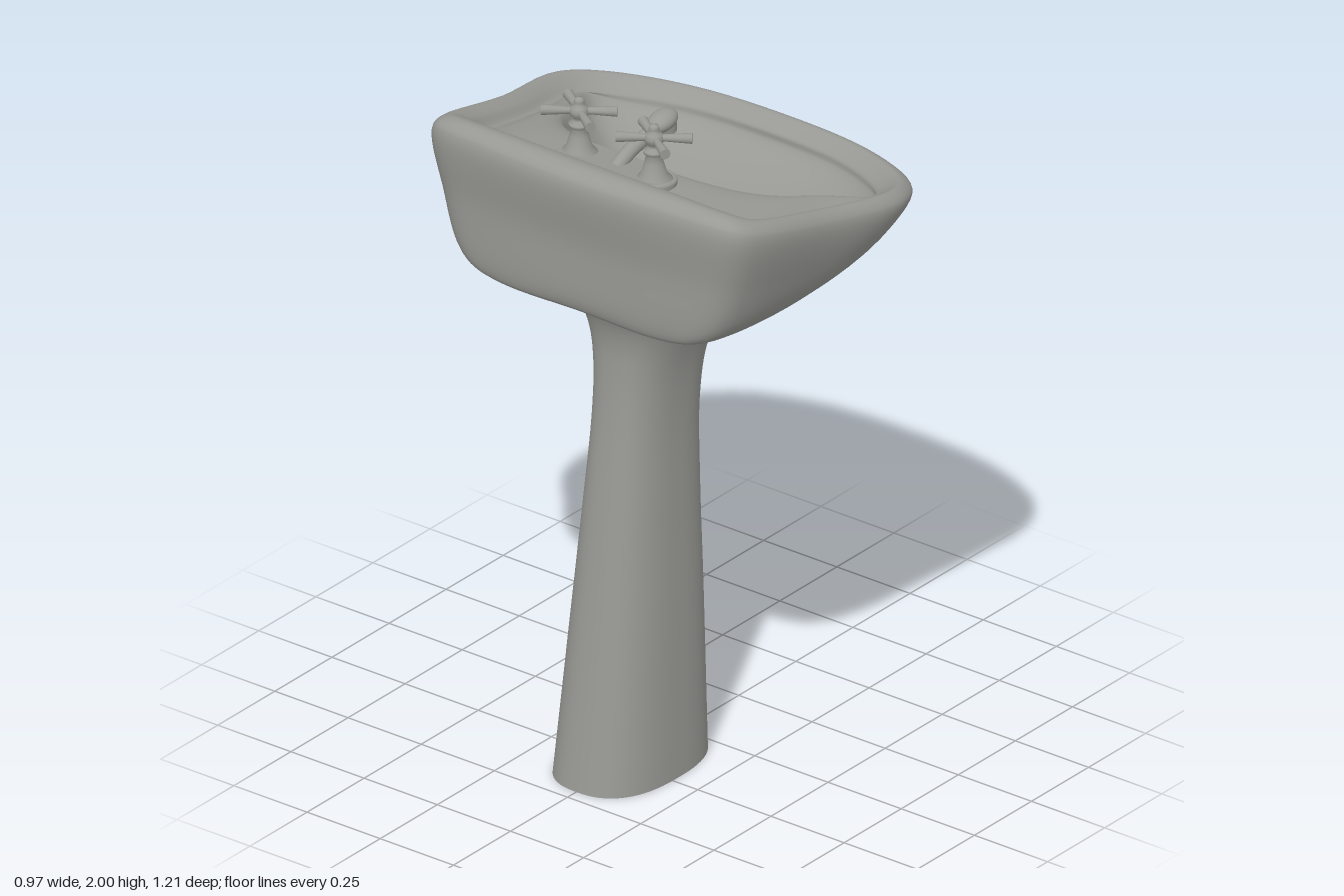
import * as THREE from 'three';

const V = (p) => new THREE.Vector3(...p);
const mix = (a, b, t) => a + (b - a) * t;

// Skin over closed rings of equal point count, listed from bottom/outside to top/inside
function skin(rings) {
  const n = rings[0].length, pos = [], idx = [];
  rings.forEach((r) => r.forEach((p) => pos.push(p.x, p.y, p.z)));
  for (let i = 0; i < rings.length - 1; i++) {
    for (let j = 0; j < n; j++) {
      const k = (j + 1) % n;
      const a = i * n + j, b = i * n + k, c = a + n, d = b + n;
      idx.push(a, b, d, a, d, c);
    }
  }
  const g = new THREE.BufferGeometry();
  g.setAttribute('position', new THREE.Float32BufferAttribute(pos, 3));
  g.setIndex(idx);
  g.computeVertexNormals();
  return g;
}

// Smooth the rings lengthwise with splines
function smoothRings(rings, steps) {
  const cols = rings[0].map((_, j) => new THREE.CatmullRomCurve3(rings.map((r) => r[j])).getPoints(steps));
  return Array.from({ length: steps + 1 }, (_, i) => cols.map((c) => c[i]));
}

// Mirror half an outline (back centre to front centre) and smooth it
function outline(half, samples = 96) {
  const other = half.slice(1, -1).reverse().map(([x, y, z]) => [x, y, -z]);
  const curve = new THREE.CatmullRomCurve3([...half, ...other].map(V), true);
  return Array.from({ length: samples }, (_, i) => curve.getPoint(i / samples));
}

function basinGeometry() {
  const edge = [[-.48, 1.86, 0], [-.466, 1.86, .33], [-.435, 1.85, .5], [-.38, 1.83, .545], [-.08, 1.755, .572],
    [.2, 1.71, .597], [.345, 1.68, .515], [.45, 1.66, .3], [.48, 1.655, 0]];
  const lower = [[-.46, 1.47, 0], [-.456, 1.47, .28], [-.435, 1.48, .39], [-.38, 1.49, .44], [-.1, 1.505, .485],
    [.12, 1.54, .49], [.25, 1.56, .41], [.35, 1.56, .22], [.38, 1.555, 0]];
  const lip = [[-.375, 1.87, 0], [-.372, 1.868, .3], [-.355, 1.855, .43], [-.32, 1.835, .475], [-.07, 1.77, .505],
    [.19, 1.72, .53], [.29, 1.69, .465], [.385, 1.67, .27], [.41, 1.665, 0]];
  const bowl = [[-.18, 1.8, 0], [-.165, 1.795, .17], [-.13, 1.785, .29], [-.07, 1.77, .365], [.07, 1.735, .435],
    [.21, 1.69, .49], [.28, 1.655, .43], [.365, 1.635, .25], [.39, 1.63, 0]];
  // Rings in between follow from the four main outlines
  const under = lower.map(([x, y, z]) => [.738 * x - .08, mix(y, 1.425, .6), .6 * z]);
  const side = edge.map((e, i) => e.map((v, k) => mix(v, lower[i][k], .5)))
    .map(([x, y, z]) => [x > 0 ? x * 1.04 : x, y, z * 1.045]);
  const crest = edge.map((e, i) => e.map((v, k) => mix(v, lip[i][k], .45) + (k === 1 ? .024 : 0)));
  const deck = lip.map(([x, y, z]) => [.96 * x, y - .025 + .03 * x, .95 * z]);
  const wall = bowl.map(([x, y, z]) => [mix(x, -.03, .1), mix(y, 1.53, .35), .88 * z]);
  const floor = bowl.map(([x, y, z]) => [mix(x, -.03, .45), mix(y, 1.53, .85), .5 * z]);
  const drain = bowl.map(([x, y, z]) => [mix(x, -.04, .95), 1.525, .05 * z]);
  const rings = [under, lower, side, edge, crest, lip, deck, bowl, wall, floor, drain].map((h) => outline(h));
  return skin(smoothRings(rings, 80));
}

// Rounded pedestal sections: height, back x, front x, half width
function pedestalRings() {
  const rows = [[0, -.462, .012, .165], [.5, -.395, .008, .14], [.8, -.357, .005, .123], [1.05, -.325, .01, .113],
    [1.2, -.312, .035, .12], [1.3, -.312, .085, .142], [1.37, -.328, .13, .17], [1.42, -.355, .17, .21],
    [1.455, -.385, .185, .27], [1.475, -.4, .19, .32]];
  const power = (v) => Math.sign(v) * Math.abs(v) ** .8;
  return rows.map(([y, back, front, w]) => Array.from({ length: 64 }, (_, i) => {
    const a = i / 64 * Math.PI * 2;
    return V([(back + front) / 2 - power(Math.cos(a)) * (front - back) / 2, y, power(Math.sin(a)) * w]);
  }));
}

export function createModel() {
  const model = new THREE.Group();
  const ceramic = new THREE.MeshStandardMaterial({ color: 0x989894 });
  ceramic.name = 'grey ceramic';
  const add = (name, geometry, parent = model, at = [0, 0, 0]) => {
    const m = new THREE.Mesh(geometry, ceramic);
    m.name = name;
    m.position.set(...at);
    parent.add(m);
    return m;
  };

  add('basin', basinGeometry());

  // Pedestal with flat underside
  const rings = pedestalRings();
  add('pedestal', skin(smoothRings(rings, 48)));
  add('pedestalBase', skin([rings[0].map(() => V([-.225, 0, 0])), rings[0]]));

  // Drain ring in the bowl
  const drain = add('drain', new THREE.TorusGeometry(.032, .006, 8, 32), model, [-.04, 1.53, 0]);
  drain.rotation.x = Math.PI / 2;

  // Faucet plate lying on the sloping deck
  const faucet = new THREE.Group();
  faucet.name = 'faucet';
  model.add(faucet);
  const s = new THREE.Shape();
  s.absarc(0, .11, .07, 0, Math.PI, false);
  s.absarc(0, -.11, .07, Math.PI, Math.PI * 2, false);
  const plateGeo = new THREE.ExtrudeGeometry(s, {
    depth: .02, bevelThickness: .008, bevelSize: .008, bevelSegments: 3, curveSegments: 16 });
  plateGeo.rotateX(-Math.PI / 2);
  add('faucetPlate', plateGeo, faucet, [-.287, 1.81, 0]).rotation.z = -.13;

  // Two taps with cross handles
  const tapProfile = [[.055, 0], [.052, .012], [.036, .03], [.026, .065], [.021, .085], [.029, .092], [.029, .1],
    [.016, .108], [.016, .118], [.025, .125], [.027, .138], [.022, .15], [.012, .156], [.015, .164], [.012, .174], [0, .178]]
    .map(([x, y]) => new THREE.Vector2(x, y));
  for (const side of [1, -1]) {
    const tap = new THREE.Group();
    tap.name = side > 0 ? 'frontTap' : 'backTap';
    tap.position.set(-.285, 1.822, side * .128);
    faucet.add(tap);
    add('tapBody', new THREE.LatheGeometry(tapProfile, 24), tap);
    for (const a of [.96, Math.PI - .96, Math.PI + .96, -.96]) {
      const arm = new THREE.CylinderGeometry(.015, .009, .09, 12);
      arm.rotateZ(-Math.PI / 2);
      arm.translate(.058, .137, 0);
      arm.rotateY(a);
      add('handleArm', arm, tap);
    }
  }

  // Spout with rounded nozzle
  const path = new THREE.CatmullRomCurve3(
    [[-.29, 1.825, 0], [-.23, 1.852, 0], [-.16, 1.868, 0], [-.08, 1.888, 0]].map(V));
  add('spout', new THREE.TubeGeometry(path, 24, .021, 16), faucet);
  const head = add('spoutHead', new THREE.SphereGeometry(1, 24, 16), faucet, [-.085, 1.887, 0]);
  head.scale.set(.053, .027, .036);
  head.rotation.z = .15;
  const nozzle = add('nozzle', new THREE.CylinderGeometry(.028, .025, .04, 20), faucet, [-.064, 1.867, 0]);
  nozzle.rotation.z = .2;
  return model;
}
